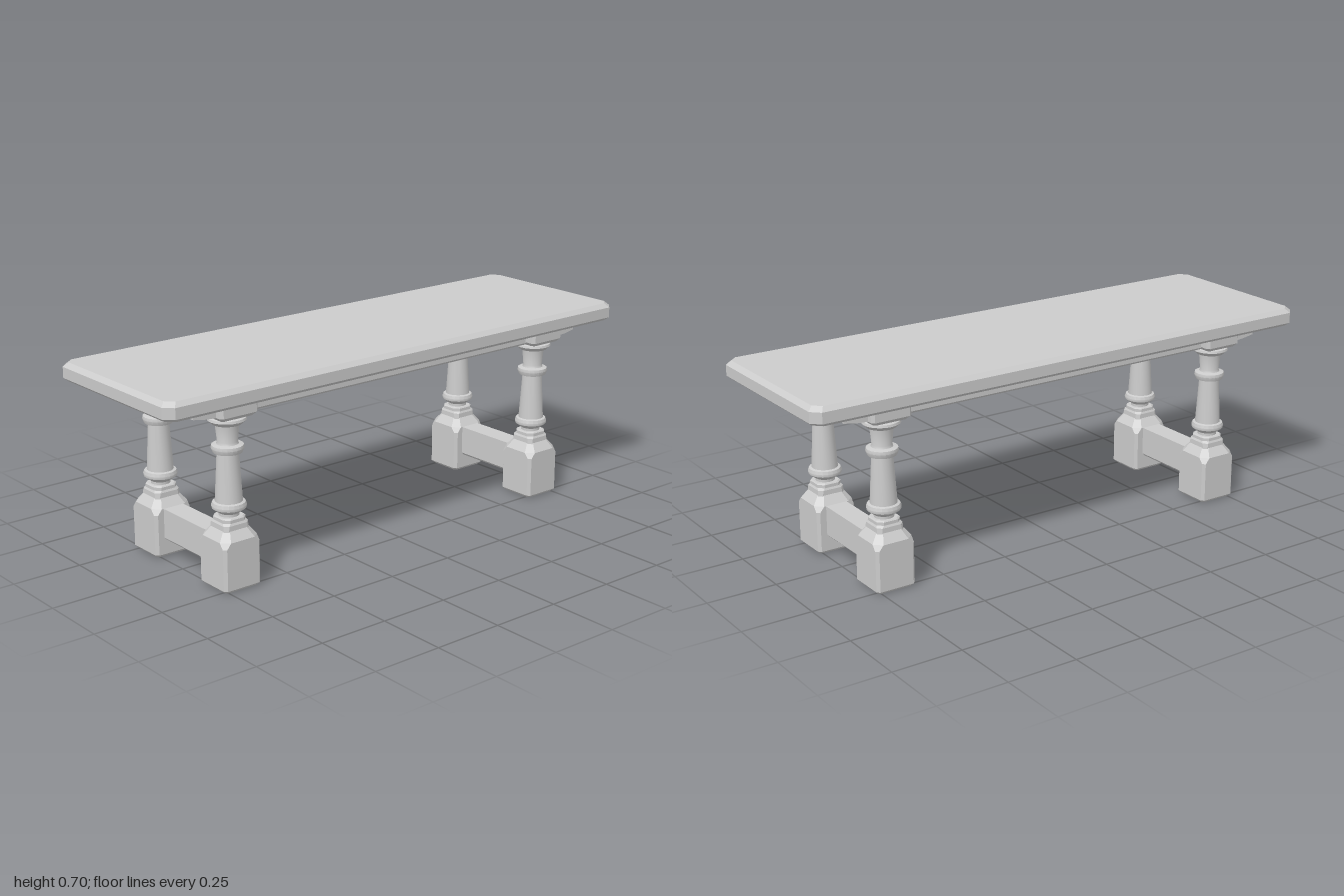
import * as THREE from 'three';
import { toCreasedNormals } from 'three/addons/utils/BufferGeometryUtils.js';

const flat = new THREE.MeshStandardMaterial({ color: 0xcccccc, flatShading: true });
const smooth = new THREE.MeshStandardMaterial({ color: 0xcccccc });

function part(name, geometry, parent, material = flat) {
  const mesh = new THREE.Mesh(geometry, material);
  mesh.name = name;
  parent.add(mesh);
  return mesh;
}

// Solid from stacked clipped-corner rectangles: [y, halfX, halfZ, cornerCut]
function chamferedStack(rings) {
  const pos = [], index = [], n = 8;
  for (const [y, a, b, c] of rings) {
    const ring = [[a, c - b], [a - c, -b], [c - a, -b], [-a, c - b], [-a, b - c], [c - a, b], [a - c, b], [a, b - c]];
    for (const [x, z] of ring) pos.push(x, y, z);
  }
  for (let r = 0; r < rings.length - 1; r++) {
    for (let i = 0; i < n; i++) {
      const p = r * n + i, q = r * n + (i + 1) % n;
      index.push(p, q, q + n, p, q + n, p + n);
    }
  }
  const t = (rings.length - 1) * n;
  for (let i = 1; i < n - 1; i++) index.push(0, i + 1, i, t, t + i, t + i + 1);
  const g = new THREE.BufferGeometry();
  g.setAttribute('position', new THREE.Float32BufferAttribute(pos, 3));
  g.setIndex(index);
  const out = g.toNonIndexed();
  out.computeVertexNormals();
  return out;
}

// Extrude a closed outline, centred on its depth
function slab(points, depth) {
  const shape = new THREE.Shape(points.map(([x, y]) => new THREE.Vector2(x, y)));
  const g = new THREE.ExtrudeGeometry(shape, { depth, bevelEnabled: false });
  return g.translate(0, 0, -depth / 2);
}

const sq = (y, h, c) => [y, h, h, c];

function makeLeg() {
  const leg = new THREE.Group();
  leg.name = 'leg';
  part('footBlock', chamferedStack([
    sq(0, 0.064, 0.009), sq(0.01, 0.0735, 0.01), sq(0.155, 0.0735, 0.01),
    sq(0.175, 0.0735, 0.026), sq(0.205, 0.05, 0.016),
  ]), leg);
  part('plinth', chamferedStack([
    sq(0.2, 0.05, 0.012), sq(0.222, 0.049, 0.014), sq(0.229, 0.045, 0.018),
    sq(0.24, 0.045, 0.018), sq(0.244, 0.041, 0.018),
  ]), leg);
  // Turned column
  const profile = [
    [0, 0.235], [0.034, 0.235], [0.034, 0.253], [0.04, 0.257], [0.057, 0.27], [0.059, 0.28],
    [0.055, 0.29], [0.046, 0.293], [0.036, 0.46], [0.049, 0.46], [0.055, 0.475], [0.053, 0.485],
    [0.037, 0.489], [0.034, 0.497], [0.04, 0.555], [0.05, 0.557], [0.065, 0.571], [0.063, 0.579],
    [0.049, 0.583], [0.047, 0.595], [0, 0.595],
  ].map(([r, y]) => new THREE.Vector2(r, y));
  part('turnedColumn', toCreasedNormals(new THREE.LatheGeometry(profile, 20), 0.6), leg, smooth);
  part('headBlock', chamferedStack([
    sq(0.586, 0.062, 0.008), sq(0.599, 0.0745, 0.01), sq(0.642, 0.0745, 0.01),
  ]), leg);
  // Tapered tongue reaching out under the top
  const tongue = slab([[0.05, 0.597], [0.115, 0.602], [0.162, 0.61], [0.162, 0.623], [0.075, 0.638], [0.05, 0.638]], 0.094);
  part('tongue', tongue.rotateY(-Math.PI / 2), leg);
  return leg;
}

function makeTrestle() {
  const trestle = new THREE.Group();
  trestle.name = 'trestle';
  for (const side of [-1, 1]) {
    const leg = makeLeg();
    leg.position.x = side * 0.2;
    trestle.add(leg);
  }
  // Low stretcher with chamfered lower edges
  const section = [[-0.03, 0.06], [0.03, 0.06], [0.04, 0.07], [0.04, 0.175], [-0.04, 0.175], [-0.04, 0.07]];
  part('stretcher', slab(section, 0.28).rotateY(Math.PI / 2), trestle);
  // Cross rail with a shallow arched underside
  const arch = [[0.15, 0.642], [-0.15, 0.642]];
  for (let i = 0; i <= 10; i++) {
    const u = i / 5 - 1;
    arch.push([u * 0.15, 0.585 + 0.009 * (1 - u * u)]);
  }
  part('crossRail', slab(arch, 0.06), trestle);
  return trestle;
}

export function createModel() {
  const table = new THREE.Group();
  table.name = 'table';
  part('tableTop', chamferedStack([
    [0.64, 0.306, 0.986, 0.028], [0.652, 0.32, 1, 0.03],
    [0.69, 0.32, 1, 0.03], [0.705, 0.304, 0.984, 0.026],
  ]), table);
  for (const end of [1, -1]) {
    const trestle = makeTrestle();
    trestle.position.z = end * 0.695;
    if (end < 0) trestle.rotation.y = Math.PI;
    table.add(trestle);
  }
  // Long rails joining the two ends
  for (const side of [-1, 1]) {
    const section = [[-0.026, 0.588], [0.026, 0.588], [0.034, 0.596], [0.034, 0.642], [-0.034, 0.642], [-0.034, 0.596]];
    part('longRail', slab(section, 1.27), table).position.x = side * 0.2;
  }
  return table;
}
